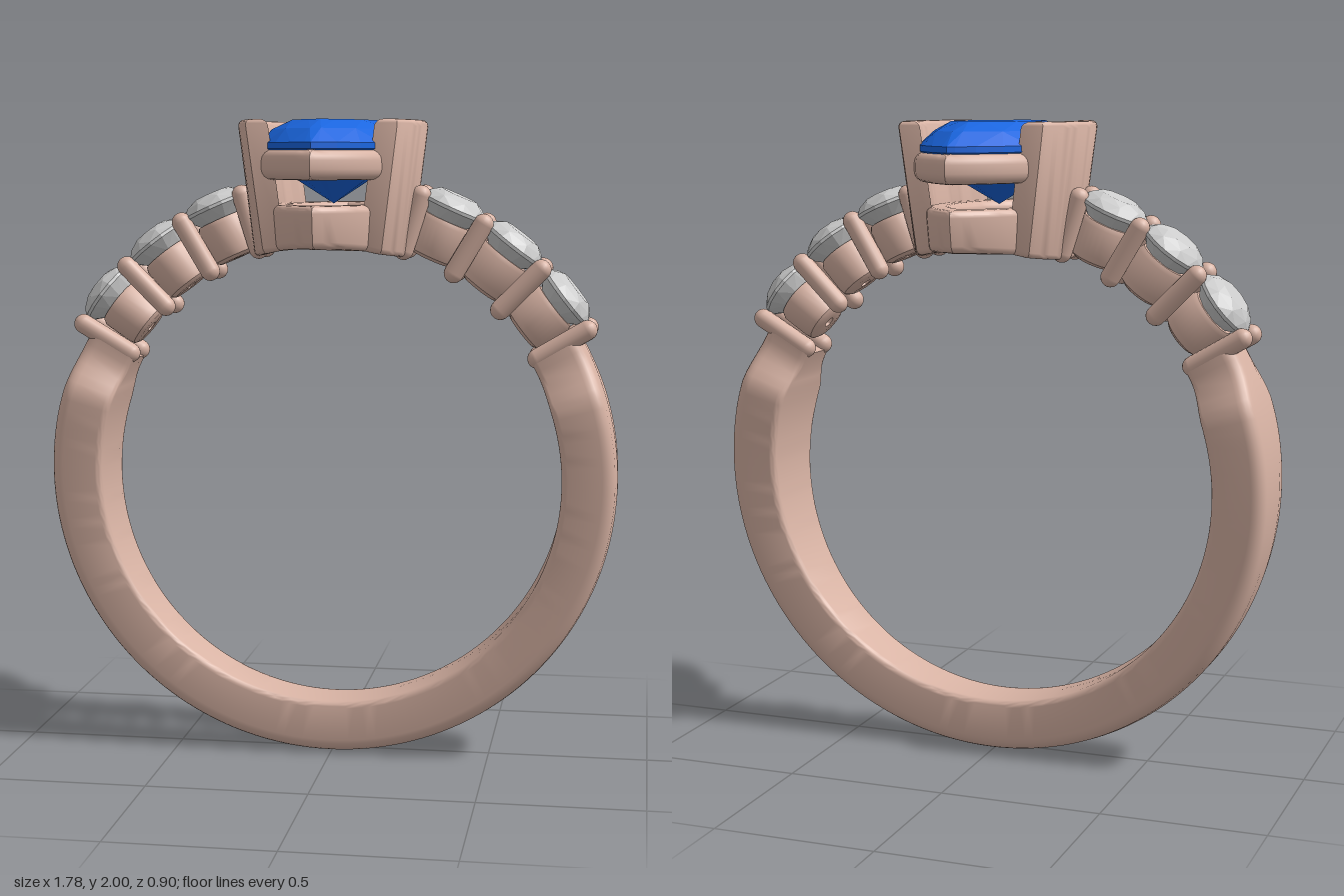
import * as THREE from 'three';
import { toCreasedNormals } from 'three/addons/utils/BufferGeometryUtils.js';
import { ConvexGeometry } from 'three/addons/geometries/ConvexGeometry.js';

const CY = 0.895, RO = 0.892, RI = 0.723; // finger circle centre height and radii
const gold = new THREE.MeshStandardMaterial({ color: 0xd8b3a4 });
const blue = new THREE.MeshStandardMaterial({ color: 0x1a66e0, flatShading: true });
const grey = new THREE.MeshStandardMaterial({ color: 0xcccccc, flatShading: true });

function add(parent, name, geometry, material = gold) {
  const mesh = new THREE.Mesh(geometry, material);
  mesh.name = name;
  parent.add(mesh);
  return mesh;
}

// Point on a two-arc almond of half-width w and half-length l (a circle when equal)
function almond(a, w, l) {
  const R = (l * l + w * w) / (2 * w), z = l * Math.cos(a);
  return [Math.sign(Math.sin(a)) * Math.max(0, Math.sqrt(R * R - z * z) - (R - w)), z];
}
const almondPoints = (w, l, n = 56) => Array.from({ length: n }, (_, i) =>
  new THREE.Vector2(...almond((i / n) * Math.PI * 2, w, l)));

// Faceted stone: rows of [height, scale, count, half-step offset]
function gem(w, l, rows) {
  const pts = [];
  for (const [y, s, n, off] of rows) {
    for (let i = 0; i < n; i++) {
      const [x, z] = almond(((i + off) / n) * Math.PI * 2, w, l);
      pts.push(new THREE.Vector3(x * s, y, z * s));
    }
  }
  return new ConvexGeometry(pts);
}

// Upright extrusion of a plan shape from y0 to y1 with rounded edges
function slab(shape, y0, y1, r) {
  const g = new THREE.ExtrudeGeometry(shape, {
    depth: y1 - y0 - 2 * r, bevelSize: r, bevelThickness: r, bevelOffset: -r, bevelSegments: 4,
  });
  g.rotateX(-Math.PI / 2);
  g.translate(0, y0 + r, 0);
  return g;
}

function almondRing(w, l, hw, hl, y0, y1, r) {
  const shape = new THREE.Shape(almondPoints(w, l));
  shape.holes.push(new THREE.Path(almondPoints(hw, hl).reverse()));
  return slab(shape, y0, y1, r);
}

// Move vertices by a rule, then restore normals
function reshape(g, rule) {
  const p = g.attributes.position, v = new THREE.Vector3();
  for (let i = 0; i < p.count; i++) {
    rule(v.fromBufferAttribute(p, i));
    p.setXYZ(i, v.x, v.y, v.z);
  }
  return toCreasedNormals(g, 0.7);
}
const fingerY = (x) => CY + Math.sqrt(RI * RI - x * x);

// Band: rounded section swept round the finger, widening to the shoulders
function shankGeometry() {
  const halfWidth = (y) => (y < 1.18
    ? 0.088 + 0.062 * Math.min(1, y / 1.1)
    : 0.15 - 0.06 * THREE.MathUtils.smoothstep(y, 1.16, 1.31));
  const section = (h) => {
    const half = [];
    const corner = (cz, cr, r, from) => {
      for (let i = 0; i <= 5; i++) {
        const t = from + (i / 5) * Math.PI / 2;
        half.push([cz + r * Math.cos(t), cr + r * Math.sin(t)]);
      }
    };
    corner(h - 0.02, RI + 0.02, 0.02, -Math.PI / 2);
    corner(h - 0.04, RO - 0.045, 0.04, 0);
    half.push([h * 0.35, RO]);
    return [...half, ...half.map(([z, r]) => [-z, r]).reverse()];
  };
  const N = 120, M = section(0.1).length, pos = [], idx = [];
  const start = THREE.MathUtils.degToRad(150), sweep = THREE.MathUtils.degToRad(240);
  for (let i = 0; i <= N; i++) {
    const a = start + (sweep * i) / N;
    const h = halfWidth(CY + RO * Math.sin(a));
    for (const [z, r] of section(h)) pos.push(r * Math.cos(a), CY + r * Math.sin(a), z);
  }
  for (let i = 0; i < N; i++) {
    for (let j = 0; j < M; j++) {
      const a = i * M + j, b = i * M + (j + 1) % M;
      idx.push(a, b, a + M, b, b + M, a + M);
    }
  }
  for (let j = 1; j < M - 1; j++) {
    idx.push(0, j + 1, j);
    idx.push(N * M, N * M + j, N * M + j + 1);
  }
  const g = new THREE.BufferGeometry();
  g.setAttribute('position', new THREE.Float32BufferAttribute(pos, 3));
  g.setIndex(idx);
  return toCreasedNormals(g, 0.7);
}

// Group whose +y points outward from the finger at the given angle
function radial(parent, name, degrees) {
  const g = new THREE.Group();
  g.name = name;
  g.position.y = CY;
  g.rotation.z = THREE.MathUtils.degToRad(degrees - 90);
  parent.add(g);
  return g;
}

export function createModel() {
  const model = new THREE.Group();
  model.name = 'ring';
  add(model, 'shank', shankGeometry());

  // Side stones in cups, with paired prongs between them
  const sideStone = gem(0.108, 0.108, [
    [0.96, 0.55, 8, 0], [0.945, 0.82, 8, 0.5], [0.922, 1, 16, 0], [0.912, 1, 16, 0],
    [0.87, 0.6, 8, 0.5], [0.835, 0, 1, 0],
  ]);
  const cup = toCreasedNormals(new THREE.LatheGeometry([
    [0.018, 0.86], [0.018, 0.745], [0.06, 0.745], [0.075, 0.755], [0.08, 0.775],
    [0.085, 0.86], [0.078, 0.875], [0.065, 0.875], [0.018, 0.845],
  ].map(([x, y]) => new THREE.Vector2(x, y)), 28), 0.7);
  const prong = new THREE.CapsuleGeometry(0.031, 0.175, 6, 16);
  for (const left of [true, false]) {
    const turn = (a) => (left ? a : 180 - a);
    for (const a of [38, 52.3, 66]) {
      const seat = radial(model, 'sideStoneSetting', turn(a));
      add(seat, 'sideStone', sideStone, grey);
      add(seat, 'cup', cup);
    }
    for (const a of [30.7, 45.2, 59.2, 72.3]) {
      const pair = radial(model, 'prongPair', turn(a));
      for (const z of [-0.061, 0.061]) add(pair, 'prong', prong).position.set(0, 0.833, z);
    }
  }

  // Centre stone
  add(model, 'centreStone', gem(0.225, 0.435, [
    [2, 0.6, 12, 0], [1.972, 0.83, 12, 0.5], [1.93, 1, 24, 0], [1.912, 1, 24, 0],
    [1.83, 0.58, 12, 0.5], [1.745, 0, 1, 0],
  ]), blue);

  // Upper and lower almond rings of the head
  add(model, 'upperGallery', toCreasedNormals(
    almondRing(0.24, 0.452, 0.165, 0.35, 1.82, 1.91, 0.032), 0.7));
  add(model, 'lowerGallery', reshape(almondRing(0.205, 0.42, 0.125, 0.29, 1.62, 1.745, 0.022), (v) => {
    const k = THREE.MathUtils.lerp(0.95, 1, (v.y - 1.62) / 0.125);
    v.x *= k;
    v.z *= k;
    if (v.y < 1.68) v.y += fingerY(v.x) - 1.62;
  }));

  // Curved walls gripping the long sides of the centre stone
  const arc = (w) => Array.from({ length: 25 }, (_, i) => {
    const z = -0.25 + (0.5 * i) / 24, R = 0.533;
    return new THREE.Vector2(Math.sqrt(R * R - z * z) - R + w, z);
  });
  for (const side of [1, -1]) {
    const shape = new THREE.Shape([...arc(0.293), ...arc(0.225).reverse()]);
    const wall = slab(shape, 1.6, 2, 0.02);
    if (side < 0) wall.rotateY(Math.PI);
    add(model, side > 0 ? 'leftWall' : 'rightWall', reshape(wall, (v) => {
      v.x -= side * (2 - v.y) * 0.13;
      v.z *= 1 - (2 - v.y) * 0.18;
      if (v.y < 1.7) v.y += fingerY(v.x) - 1.6;
    }));
  }
  return model;
}
